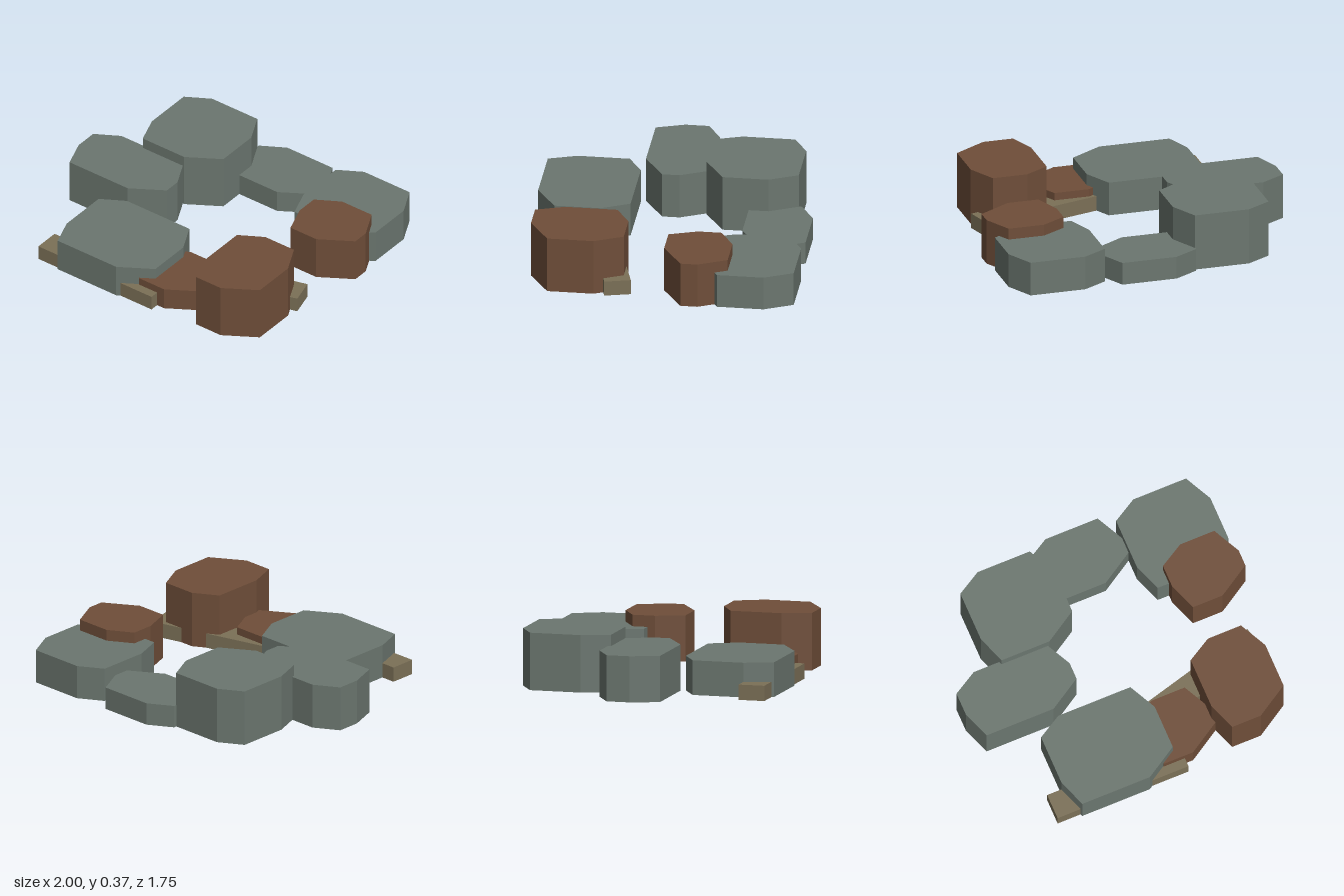
import * as THREE from 'three';

const grey = new THREE.MeshStandardMaterial({ name: 'greyStone', color: 0x6b766f });
const brown = new THREE.MeshStandardMaterial({ name: 'brownStone', color: 0x6f4e39 });
const tan = new THREE.MeshStandardMaterial({ name: 'tanPlank', color: 0x7b7057 });

// Stone: upright prism whose corners are chamfered by fixed amounts
function stone(name, material, x0, x1, z0, z1, height) {
  const outline = [
    [x0, z0 + 0.09], [x0, z1 - 0.18],
    [x0 + 0.065, z1], [x1 - 0.21, z1],
    [x1, z1 - 0.13], [x1, z0 + 0.18],
    [x1 - 0.09, z0], [x0 + 0.155, z0],
  ];
  const shape = new THREE.Shape(outline.map(([x, z]) => new THREE.Vector2(x, -z)));
  const geometry = new THREE.ExtrudeGeometry(shape, { depth: height, bevelEnabled: false });
  geometry.rotateX(-Math.PI / 2);
  const mesh = new THREE.Mesh(geometry, material);
  mesh.name = name;
  return mesh;
}

// Plank: low flat beam lying on the ground
function plank(name, x, z, angle) {
  const mesh = new THREE.Mesh(new THREE.BoxGeometry(0.89, 0.097, 0.168), tan);
  mesh.position.set(x, 0.0485, z);
  mesh.rotation.y = angle;
  mesh.name = name;
  return mesh;
}

export function createModel() {
  const group = new THREE.Group();
  group.name = 'stoneRing';

  // Ring of stones: x range, z range, height
  group.add(
    stone('frontStone', grey, -0.615, 0.12, 0.27, 0.87, 0.22),
    stone('rightStone', grey, -1, -0.268, -0.18, 0.24, 0.293),
    stone('backRightStone', grey, -0.728, -0.128, -0.76, -0.16, 0.365),
    stone('backStone', grey, -0.22, 0.38, -0.87, -0.455, 0.146),
    stone('backLeftStone', grey, 0.38, 0.983, -0.875, -0.272, 0.22),
    stone('leftBrownStone', brown, 0.523, 1, -0.46, -0.043, 0.293),
    stone('tallBrownStone', brown, 0.428, 0.898, 0.21, 0.812, 0.365),
    stone('lowBrownStone', brown, -0.03, 0.443, 0.38, 0.798, 0.146),
  );

  // Planks wedged under the front stones
  group.add(
    plank('frontPlank', -0.267, 0.772, 0),
    plank('slantedPlank', 0.465, 0.353, Math.PI / 12),
  );
  return group;
}
